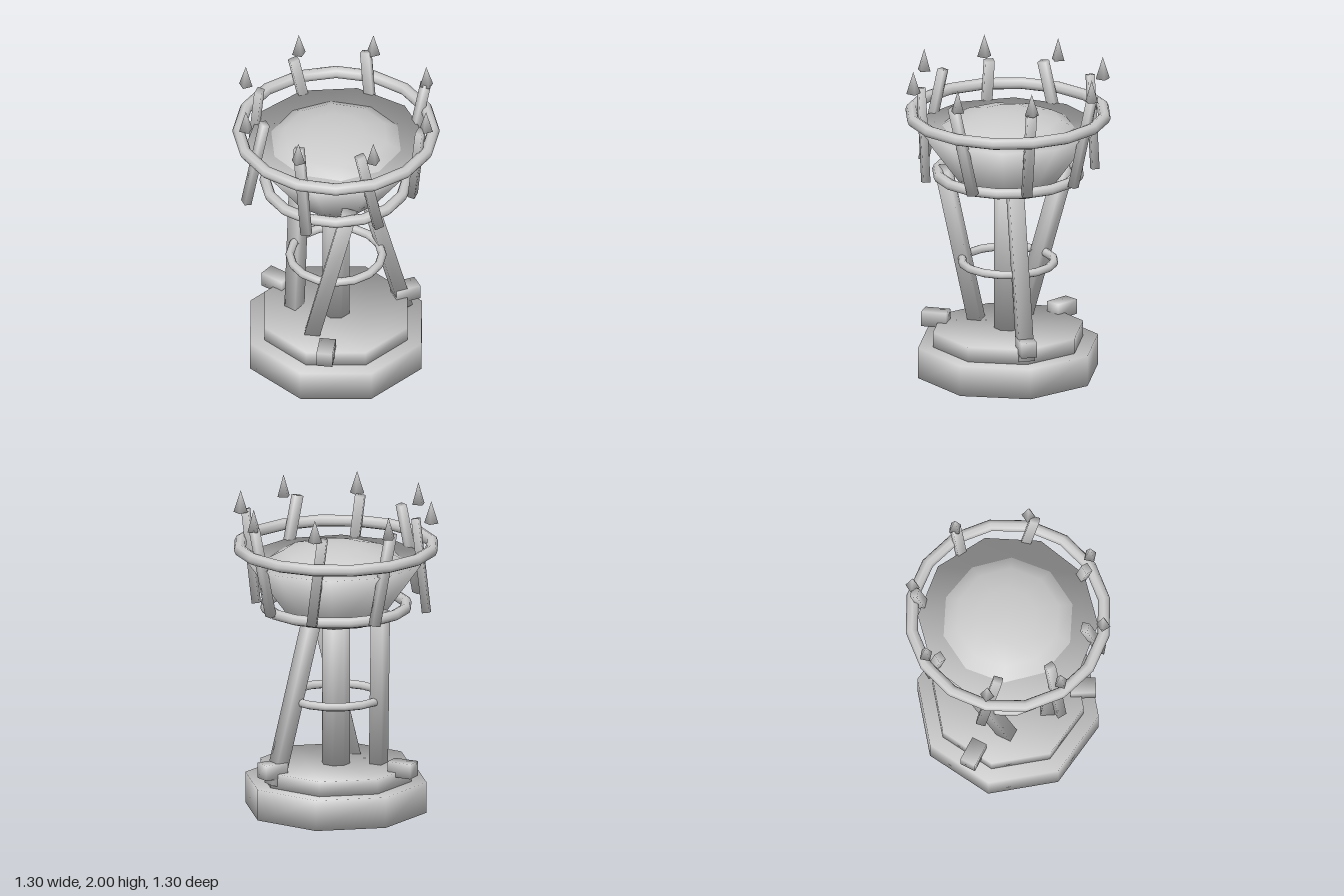
import * as THREE from 'three';

const stone = new THREE.MeshStandardMaterial({ color: 0xcccccc });
stone.name = 'grey';

const V = (x, y, z) => new THREE.Vector3(x, y, z);

// Closed solid from polygons, with one soft normal per corner weighted by face angle
function softSolid(points, faces) {
  const normals = points.map(() => V(0, 0, 0));
  const index = [];
  for (const face of faces) {
    const n = face.length;
    face.forEach((p, k) => {
      const next = points[face[(k + 1) % n]].clone().sub(points[p]);
      const prev = points[face[(k + n - 1) % n]].clone().sub(points[p]);
      const normal = next.clone().cross(prev).normalize();
      normals[p].addScaledVector(normal, next.angleTo(prev));
      if (k > 1) index.push(face[0], face[k - 1], p);
    });
  }
  const geometry = new THREE.BufferGeometry();
  geometry.setAttribute('position', new THREE.Float32BufferAttribute(points.flatMap((p) => p.toArray()), 3));
  geometry.setAttribute('normal', new THREE.Float32BufferAttribute(normals.flatMap((p) => p.normalize().toArray()), 3));
  geometry.setIndex(index);
  return geometry;
}

// Prism over a ring of [x, z] corners; taper scales the bottom ring
function prism(ring, height, taper = 1) {
  const n = ring.length;
  const ids = ring.map((_, i) => i);
  return softSolid(
    [
      ...ring.map(([x, z]) => V(x * taper, -height / 2, z * taper)),
      ...ring.map(([x, z]) => V(x, height / 2, z)),
    ],
    [
      ...ids.map((i) => [i, (i + 1) % n, n + ((i + 1) % n), n + i]),
      ids.map((i) => n + i),
      [...ids].reverse(),
    ],
  );
}

function pyramid(ring, height) {
  const n = ring.length;
  const ids = ring.map((_, i) => i);
  return softSolid(
    [...ring.map(([x, z]) => V(x, -height / 2, z)), V(0, height / 2, 0)],
    [...ids.map((i) => [i, (i + 1) % n, n]), [...ids].reverse()],
  );
}

const polygon = (n, r) => Array.from({ length: n }, (_, i) => {
  const t = (i * Math.PI * 2) / n;
  return [r * Math.sin(t), r * Math.cos(t)];
});

const rectangle = (w, d) => [[-w / 2, d / 2], [w / 2, d / 2], [w / 2, -d / 2], [-w / 2, -d / 2]];

export function createModel() {
  const model = new THREE.Group();
  model.name = 'brazier';

  // Place a part, turned about y to face the angle a
  function add(name, geometry, x, y, z, a = 0) {
    const mesh = new THREE.Mesh(geometry, stone);
    mesh.name = name;
    mesh.position.set(x, y, z);
    mesh.rotation.y = -a;
    model.add(mesh);
    return mesh;
  }

  // Tilt a placed part so its top leans along (dx, dz)
  function lean(mesh, dx, dz, tilt) {
    const axis = V(dx * Math.sin(tilt), Math.cos(tilt), dz * Math.sin(tilt));
    mesh.quaternion.premultiply(new THREE.Quaternion().setFromUnitVectors(V(0, 1, 0), axis));
  }

  // Stepped octagonal base and central column
  add('base', prism(polygon(8, 0.575), 0.195), 0, 0.0975, 0);
  add('baseStep', prism(polygon(8, 0.48), 0.1), 0, 0.24, 0);
  add('column', prism(polygon(8, 0.09), 0.96), 0, 0.76, 0);

  // Three leaning square legs with block feet
  const legGeometry = prism(rectangle(0.085, 0.095), 1.16);
  const footGeometry = prism(rectangle(0.16, 0.1), 0.095);
  for (let i = 0; i < 3; i++) {
    const a = (i * Math.PI * 2) / 3;
    const c = Math.cos(a), s = Math.sin(a);
    lean(add('leg', legGeometry, 0.303 * c, 0.77, 0.303 * s, a), -c, s, 0.265);
    add('foot', footGeometry, 0.465 * c, 0.307, 0.465 * s, a);
  }

  // Hoops around the legs, bowl bottom and bowl rim
  for (const [name, radius, tube, y] of [
    ['legRing', 0.287, 0.027, 0.72],
    ['lowerBowlRing', 0.44, 0.035, 1.3],
    ['upperBowlRing', 0.605, 0.038, 1.68],
  ]) {
    add(name, new THREE.TorusGeometry(radius, tube, 8, 16).rotateX(Math.PI / 2), 0, y, 0);
  }

  // Ten-sided bowl filled to the rim, with a low mound on top
  add('bowl', prism(polygon(10, 0.56), 0.385, 0.5), 0, 1.4075, 0);
  add('mound', new THREE.SphereGeometry(0.46, 10, 8).scale(1, 0.36, 1), 0, 1.53, 0);

  // Ring of leaning flat posts with pointed tips floating above
  const postGeometry = prism(rectangle(0.045, 0.06), 0.59);
  const tipGeometry = pyramid(polygon(4, 0.045), 0.14);
  for (let i = 0; i < 8; i++) {
    const a = (i * Math.PI) / 4;
    const c = Math.cos(a), s = Math.sin(a);
    lean(add('post', postGeometry, 0.54 * c, 1.585, 0.54 * s, a), Math.cos(2 * a), Math.sin(2 * a), 0.21);
    add('spikeTip', tipGeometry, 0.605 * c, 1.93, 0.605 * s, a);
  }

  return model;
}
